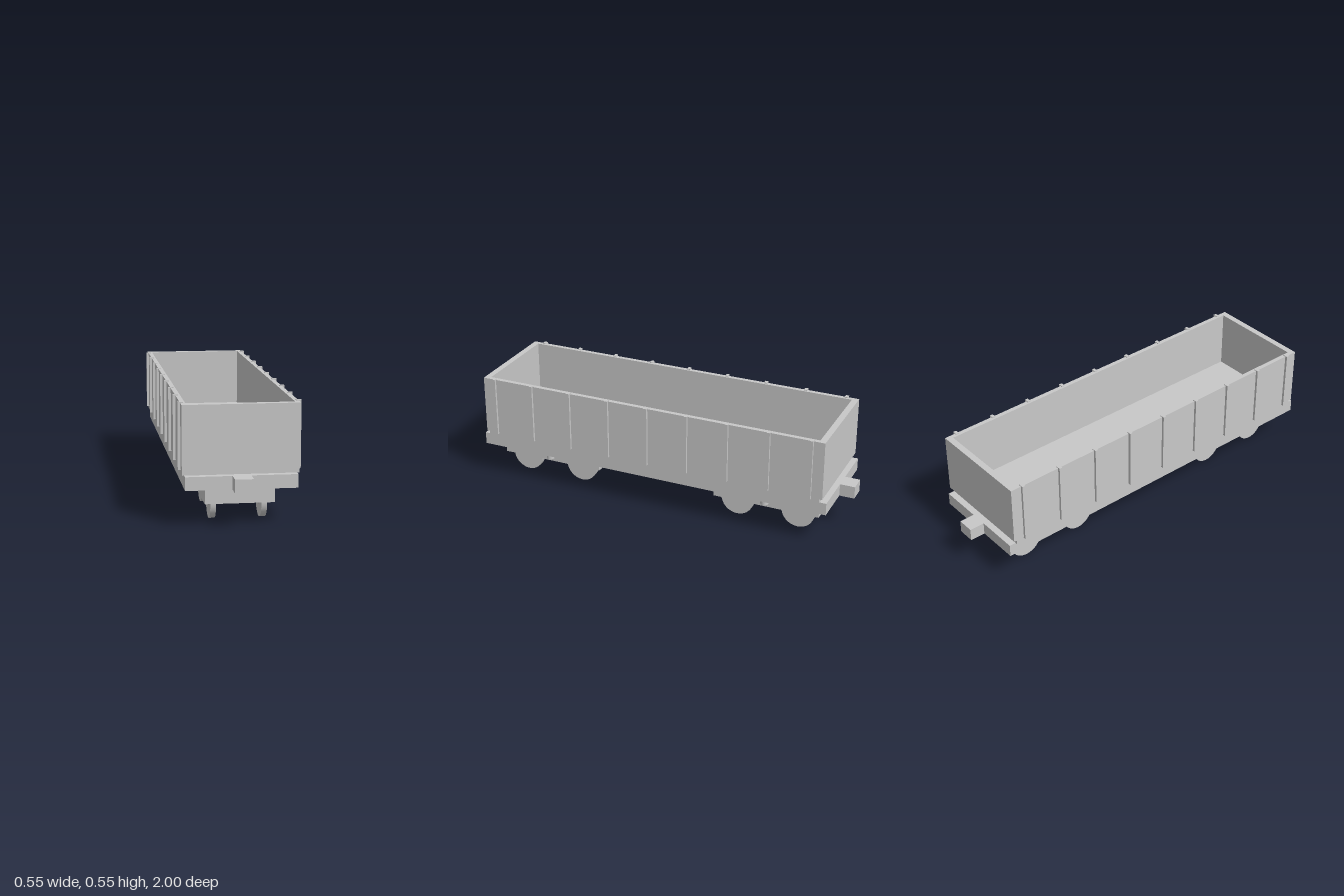
import * as THREE from 'three';

export function createModel() {
  const wagon = new THREE.Group();
  wagon.name = 'openFreightWagon';
  const grey = new THREE.MeshStandardMaterial({ color: 0xc8c8c8 });
  grey.name = 'light grey';

  const add = (parent, name, geometry, x, y, z) => {
    const mesh = new THREE.Mesh(geometry, grey);
    mesh.name = name;
    mesh.position.set(x, y, z);
    parent.add(mesh);
    return mesh;
  };
  // Box given by its width, bottom, top and depth
  const box = (parent, name, w, y0, y1, d, x = 0, z = 0) =>
    add(parent, name, new THREE.BoxGeometry(w, y1 - y0, d), x, (y0 + y1) / 2, z);

  // Underframe and floor
  box(wagon, 'underframe', 0.506, 0.168, 0.23, 1.85);
  box(wagon, 'floor', 0.527, 0.23, 0.252, 1.784);

  for (const s of [-1, 1]) {
    // Couplers and walls
    box(wagon, 'coupler', 0.084, 0.168, 0.23, 0.075, 0, s * 0.9625);
    box(wagon, 'sideWall', 0.022, 0.252, 0.548, 1.752, s * 0.254);
    box(wagon, 'endWall', 0.53, 0.252, 0.548, 0.031, 0, s * 0.8915);

    // Vertical ribs along the side
    for (let i = -4; i <= 4; i++) {
      box(wagon, 'sideRib', 0.024, 0.247, 0.552, 0.016, s * 0.265, i * 0.211);
    }
  }

  // Two four-wheeled bogies
  const wheelGeo = new THREE.CylinderGeometry(0.084, 0.084, 0.026, 32).rotateZ(Math.PI / 2);
  const hubGeo = new THREE.CylinderGeometry(0.026, 0.026, 0.031, 24).rotateZ(Math.PI / 2);
  const postGeo = new THREE.CylinderGeometry(0.0205, 0.0205, 0.053, 24);
  for (const end of [-1, 1]) {
    const bogie = new THREE.Group();
    bogie.name = end > 0 ? 'frontBogie' : 'rearBogie';
    bogie.position.z = end * 0.59;
    wagon.add(bogie);
    box(bogie, 'bogieFrame', 0.316, 0.09, 0.162, 0.546);
    for (const side of [-1, 1]) {
      add(bogie, 'suspensionPost', postGeo, side * 0.1735, 0.1415, 0);
      for (const axle of [-1, 1]) {
        add(bogie, 'wheel', wheelGeo, side * 0.116, 0.084, axle * 0.158);
        add(bogie, 'wheelHub', hubGeo, side * 0.116, 0.084, axle * 0.158);
      }
    }
  }
  return wagon;
}
